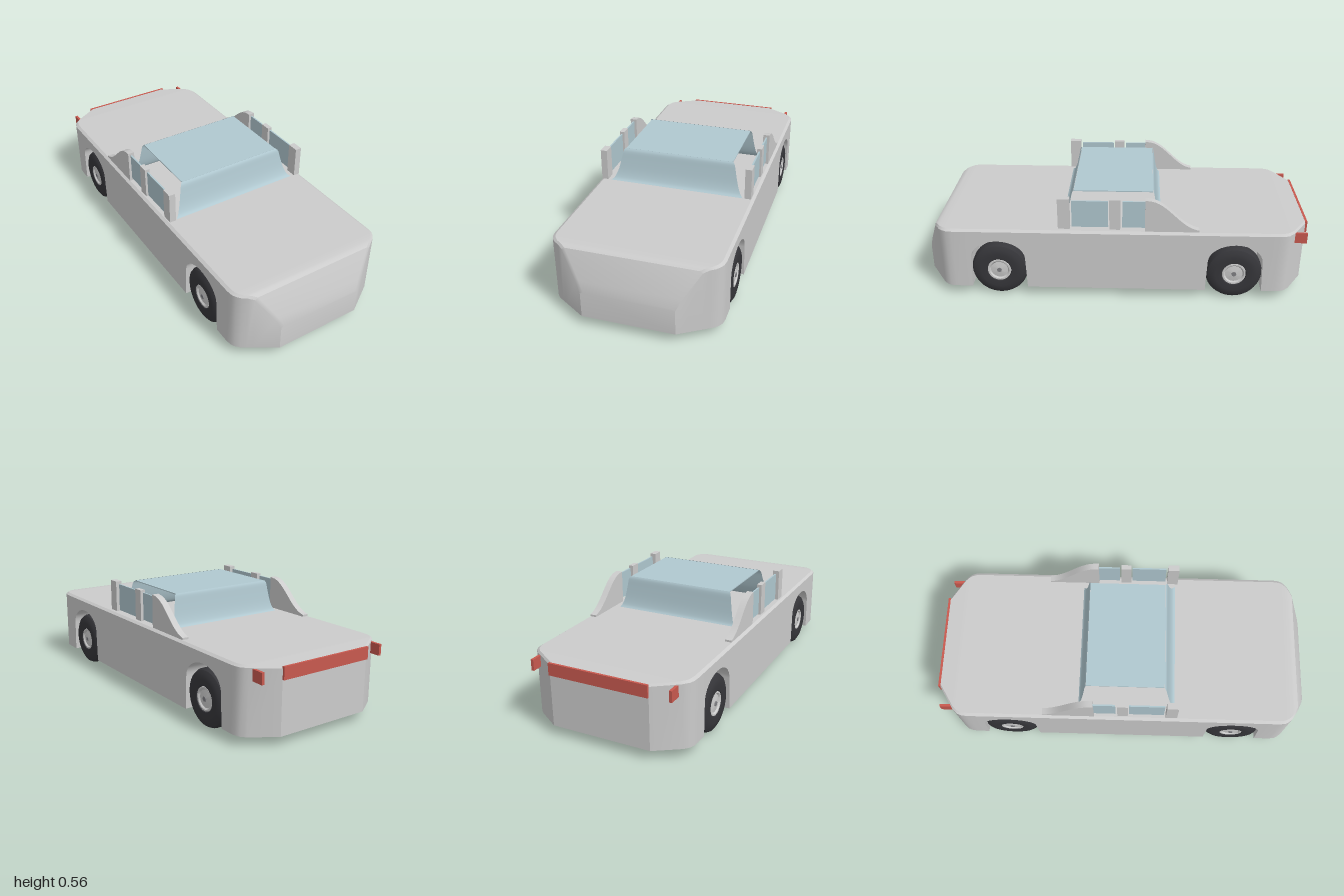
import * as THREE from 'three';
import { toCreasedNormals } from 'three/addons/utils/BufferGeometryUtils.js';

const mat = (color, side = THREE.FrontSide) => new THREE.MeshStandardMaterial({ color, side });
const grey = mat(0xcccccc);
const glass = mat(0xb0c8d0, THREE.DoubleSide);
const red = mat(0xc8594f);
const rubber = mat(0x36363a);
const WHEELS = [0.6, -0.62];

function add(parent, name, geometry, material, x = 0, y = 0, z = 0) {
  const mesh = new THREE.Mesh(geometry, material);
  mesh.name = name;
  mesh.position.set(x, y, z);
  parent.add(mesh);
  return mesh;
}

// Linear lookup in a list of [z, value]
function lookup(table, z) {
  for (let i = 1; i < table.length; i++) {
    const [z0, a] = table[i - 1], [z1, b] = table[i];
    if (z <= z1) return a + (b - a) * (z - z0) / (z1 - z0);
  }
  return table[table.length - 1][1];
}

const halfWidth = [[-0.99, 0.26], [-0.91, 0.385], [-0.885, 0.408], [-0.86, 0.417], [-0.83, 0.42],
  [0.83, 0.42], [0.86, 0.416], [0.88, 0.406], [0.9, 0.388], [1, 0.23]];
const topHeight = [[-0.99, 0.378], [-0.9, 0.383], [0.88, 0.383], [0.915, 0.38], [0.932, 0.37],
  [0.985, 0.24], [1, 0.19]];

// Lofted body: cross-sections along z, with the wheel wells cut from below
function bodyGeometry() {
  const floor = 0.05, archHalf = 0.14, steps = 16;
  const stations = [...halfWidth, ...topHeight].map(([z]) => [z, floor]);
  for (const c of WHEELS) {
    stations.push([c - archHalf - 0.006, floor], [c + archHalf + 0.006, floor]);
    for (let i = 0; i <= steps; i++) {
      const u = -Math.cos(Math.PI * i / steps);
      stations.push([c + u * archHalf, 0.22 + 0.1 * Math.sqrt(Math.max(0, 1 - u * u))]);
    }
  }
  stations.sort((a, b) => a[0] - b[0]);

  const rings = stations.map(([z, b]) => {
    const w = lookup(halfWidth, z), t = lookup(topHeight, z), i = Math.min(0.23, w);
    return [[-w + 0.015, t], [w - 0.015, t], [w, t - 0.01], [w, b], [i, b], [i, floor],
      [-i, floor], [-i, b], [-w, b], [-w, t - 0.01]].map(([x, y]) => new THREE.Vector3(x, y, z));
  });

  const positions = [];
  const tri = (a, b, c) => {
    if (new THREE.Triangle(a, b, c).getArea() > 1e-9) {
      for (const p of [a, b, c]) positions.push(p.x, p.y, p.z);
    }
  };
  for (let s = 1; s < rings.length; s++) {
    const p = rings[s - 1], q = rings[s];
    for (let j = 0; j < p.length; j++) {
      const k = (j + 1) % p.length;
      tri(p[j], q[j], q[k]);
      tri(p[j], q[k], p[k]);
    }
  }
  // Flat ends
  const back = rings[0], front = rings[rings.length - 1];
  for (let j = 1; j < back.length - 1; j++) {
    tri(back[0], back[j], back[j + 1]);
    tri(front[0], front[j + 1], front[j]);
  }
  const geometry = new THREE.BufferGeometry();
  geometry.setAttribute('position', new THREE.Float32BufferAttribute(positions, 3));
  return toCreasedNormals(geometry, 0.5);
}

// Flared glass sheet, wide at the base and narrow at the roof
function screenGeometry(baseWidth, baseZ, topZ) {
  const curve = new THREE.CatmullRomCurve3([[1, 0.386], [0.76, 0.4], [0.5, 0.44], [0.28, 0.5],
    [0.15, 0.54], [0, 0.555]].map(([f, y]) => new THREE.Vector3(f, y, 0)));
  const rows = 14;
  const geometry = new THREE.PlaneGeometry(2, 1, 1, rows);
  const p = geometry.attributes.position;
  for (let i = 0; i < p.count; i++) {
    const c = curve.getPoint(p.getY(i) + 0.5);
    p.setXYZ(i, p.getX(i) * (0.293 + (baseWidth - 0.293) * c.x), c.y, topZ + (baseZ - topZ) * c.x);
  }
  geometry.computeVertexNormals();
  return geometry;
}

// Sweeping rear pillar
function sailGeometry() {
  const s = new THREE.Shape();
  s.moveTo(-0.155, 0.385);
  s.lineTo(-0.43, 0.385);
  s.lineTo(-0.43, 0.395);
  s.bezierCurveTo(-0.33, 0.41, -0.27, 0.55, -0.175, 0.556);
  s.lineTo(-0.155, 0.558);
  const geometry = new THREE.ExtrudeGeometry(s, { depth: 0.035, bevelEnabled: false, curveSegments: 16 });
  geometry.rotateY(-Math.PI / 2).translate(0.0175, 0, 0);
  return toCreasedNormals(geometry, 0.5);
}

function lathe(points) {
  const geometry = new THREE.LatheGeometry(points.map(([r, y]) => new THREE.Vector2(r, y)), 40);
  return toCreasedNormals(geometry.rotateZ(-Math.PI / 2), 0.5);
}

function createWheel() {
  const wheel = new THREE.Group();
  wheel.name = 'wheel';
  add(wheel, 'tyre', lathe([[0, -0.048], [0.123, -0.048], [0.145, -0.015], [0.145, 0.018],
    [0.137, 0.034], [0.12, 0.044], [0.095, 0.048], [0.064, 0.045], [0.06, 0.03]]), rubber);
  add(wheel, 'hub', lathe([[0.062, 0.032], [0.06, 0.043], [0.052, 0.043], [0.045, 0.036],
    [0.02, 0.04], [0, 0.042]]), grey);
  add(wheel, 'hubCap', lathe([[0.012, 0.036], [0.012, 0.045], [0, 0.045]]), mat(0x808084));
  return wheel;
}

export function createModel() {
  const model = new THREE.Group();
  model.name = 'car';
  add(model, 'body', bodyGeometry(), grey);

  // Cabin glass
  add(model, 'windscreen', screenGeometry(0.36, 0.272, 0.212), glass);
  add(model, 'rearWindow', screenGeometry(0.34, -0.24, -0.195), glass);
  add(model, 'roofGlass', new THREE.BoxGeometry(0.58, 0.005, 0.405), glass, 0, 0.552, 0.008);

  // Parts on both sides
  for (const side of [1, -1]) {
    const x = side * 0.389;
    add(model, 'frontPillar', new THREE.BoxGeometry(0.034, 0.165, 0.06), grey, x, 0.476, 0.255);
    add(model, 'middlePillar', new THREE.BoxGeometry(0.026, 0.165, 0.055), grey, x, 0.473, -0.003);
    add(model, 'rearPillar', sailGeometry(), grey, x);
    add(model, 'frontSideWindow', new THREE.BoxGeometry(0.008, 0.145, 0.185), glass, x, 0.472, 0.123);
    add(model, 'rearSideWindow', new THREE.BoxGeometry(0.008, 0.145, 0.115), glass, x, 0.472, -0.098);
    add(model, 'sideTailLight', new THREE.BoxGeometry(0.014, 0.056, 0.075), red, side * 0.363, 0.34, -0.945);
    for (const z of WHEELS) {
      const wheel = createWheel();
      wheel.position.set(side * 0.369, 0.145, z);
      if (side < 0) wheel.rotation.y = Math.PI;
      model.add(wheel);
    }
  }
  add(model, 'rearLightBar', new THREE.BoxGeometry(0.52, 0.062, 0.012), red, 0, 0.348, -0.994);
  return model;
}
